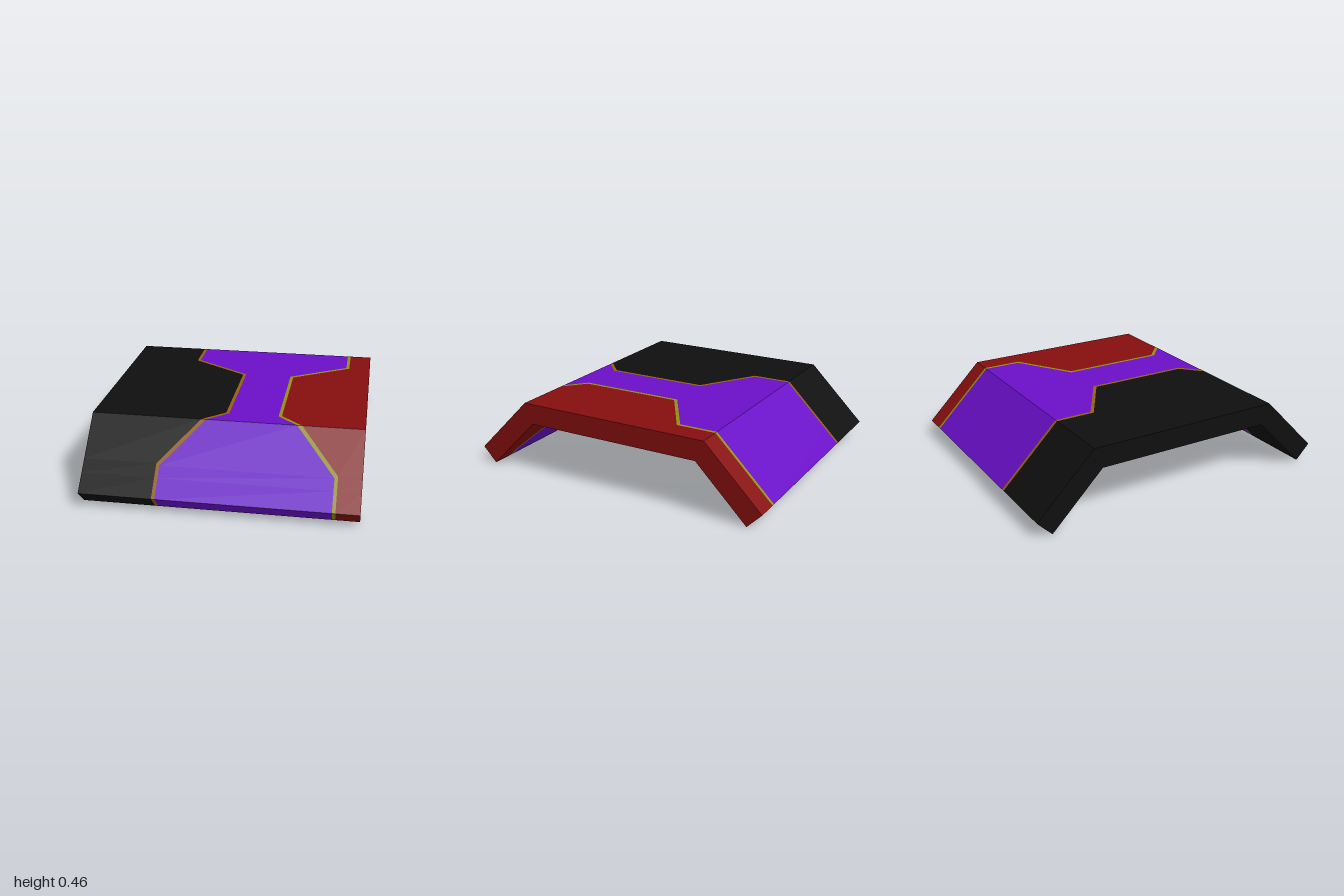
import * as THREE from 'three';

const HALF_WIDTH = 0.83;
// bent plate: [z, y] of upper and lower surface, end faces belong to the lower one
const TOP = [[-1, 0.095], [-0.632, 0.462], [0.632, 0.462], [1, 0.095]];
const BOTTOM = [[-1, 0.095], [-0.907, 0], [-0.578, 0.33], [0.578, 0.33], [0.907, 0], [1, 0.095]];

// colour borders in plan: [z, x]
const border = (wide, narrow) => [[-1, wide], [-0.385, wide], [-0.155, narrow], [0.515, narrow], [0.848, wide], [1, wide]];
const RIGHT_BORDER = border(-0.375, -0.011);
const LEFT_BORDER = border(0.679, 0.312);
const edge = (x) => [[-1, x], [1, x]];

// value of a polyline at z
function at(line, z) {
  let i = 0;
  while (i < line.length - 2 && z > line[i + 1][0]) i++;
  const [z0, v0] = line[i], [z1, v1] = line[i + 1];
  return v0 + (v1 - v0) * (z - z0) / (z1 - z0);
}

// parallel line with mitred corners, shifted towards +x by d
function offset(line, d) {
  const normal = (a, b) => new THREE.Vector2(-(b[1] - a[1]), b[0] - a[0]).normalize();
  return line.map((p, i) => {
    const n0 = normal(line[Math.max(i - 1, 0)], line[Math.max(i, 1)]);
    const last = line.length - 1;
    const n1 = normal(line[Math.min(i, last - 1)], line[Math.min(i + 1, last)]);
    const m = n0.clone().add(n1).normalize();
    const k = d / m.dot(n0);
    return [p[0] + m.x * k, p[1] + m.y * k];
  });
}

// closed slab between two borders, lofted along z
function panel(name, color, from, to) {
  const stations = [...new Set([...TOP, ...BOTTOM, ...from, ...to].map((p) => p[0]))].sort((a, b) => a - b);
  const rings = stations.map((z) => {
    const x0 = at(from, z), x1 = at(to, z), y0 = at(BOTTOM, z), y1 = at(TOP, z);
    return [[x0, y0, z], [x1, y0, z], [x1, y1, z], [x0, y1, z]];
  });
  const positions = [];
  for (let i = 0; i < rings.length - 1; i++) {
    for (let j = 0; j < 4; j++) {
      const k = (j + 1) % 4;
      const a = rings[i][j], b = rings[i][k], c = rings[i + 1][k], d = rings[i + 1][j];
      positions.push(...a, ...b, ...c, ...a, ...c, ...d);
    }
  }
  const geometry = new THREE.BufferGeometry();
  geometry.setAttribute('position', new THREE.Float32BufferAttribute(positions, 3));
  geometry.computeVertexNormals();
  const mesh = new THREE.Mesh(geometry, new THREE.MeshStandardMaterial({ color, flatShading: true }));
  mesh.name = name;
  return mesh;
}

export function createModel() {
  const group = new THREE.Group();
  group.name = 'bentPlate';
  const t = 0.01; // half width of the trim
  const r0 = offset(RIGHT_BORDER, -t), r1 = offset(RIGHT_BORDER, t);
  const l0 = offset(LEFT_BORDER, -t), l1 = offset(LEFT_BORDER, t);
  group.add(
    panel('rightPanel', 0x0f0f0f, edge(-HALF_WIDTH), r0),
    panel('rightTrim', 0x94610f, r0, r1),
    panel('centrePanel', 0x6a0fc8, r1, l0),
    panel('leftTrim', 0x948f0f, l0, l1),
    panel('leftPanel', 0x860f0f, l1, edge(HALF_WIDTH)),
  );
  return group;
}
